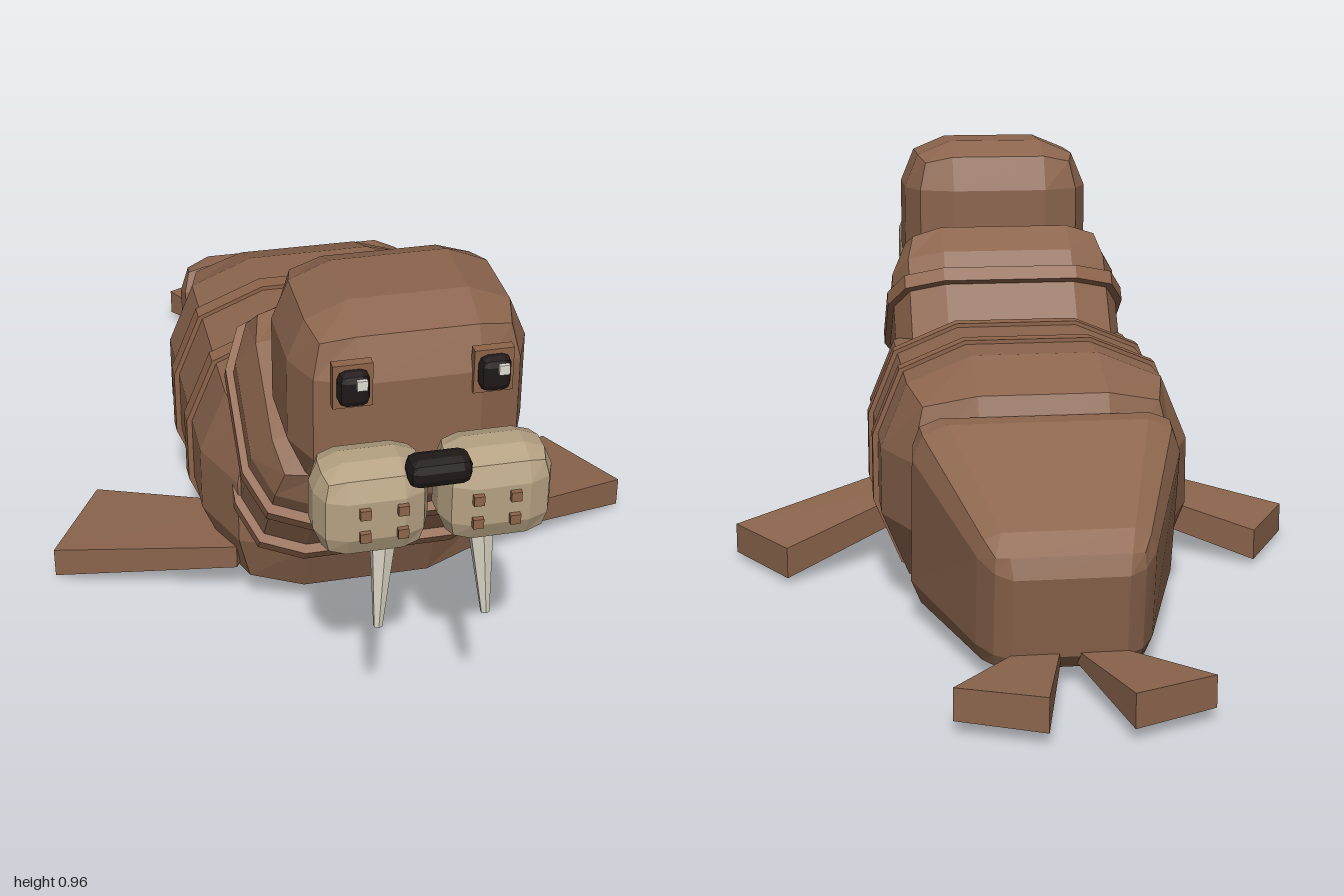
import * as THREE from 'three';
import { RoundedBoxGeometry } from 'three/addons/geometries/RoundedBoxGeometry.js';
import { ConvexGeometry } from 'three/addons/geometries/ConvexGeometry.js';

const mat = (name, color) => {
  const m = new THREE.MeshStandardMaterial({ color });
  m.name = name;
  return m;
};

function flat(geo) {
  const g = geo.index ? geo.toNonIndexed() : geo;
  g.computeVertexNormals();
  return g;
}

// Box with chamfered edges, optionally reshaped by a rule on each vertex
function block(w, h, d, r, warp) {
  const g = new RoundedBoxGeometry(w, h, d, 1, r);
  if (warp) {
    const p = g.attributes.position, v = new THREE.Vector3();
    for (let i = 0; i < p.count; i++) {
      warp(v.fromBufferAttribute(p, i));
      p.setXYZ(i, v.x, v.y, v.z);
    }
  }
  return flat(g);
}

// Flat slab whose outline has chamfered corners, thickness centred on z
function slab(w, h, r, t) {
  const pts = [];
  [[1, 1], [-1, 1], [-1, -1], [1, -1]].forEach(([sx, sy], k) => {
    for (let j = 0; j < 3; j++) {
      const a = k * Math.PI / 2 + j * Math.PI / 4;
      pts.push(new THREE.Vector2(
        sx * (w / 2 - r) + r * Math.cos(a), sy * (h / 2 - r) + r * Math.sin(a)));
    }
  });
  const g = new THREE.ExtrudeGeometry(new THREE.Shape(pts), { depth: t, bevelEnabled: false });
  return flat(g.translate(0, 0, -t / 2));
}

// Flipper from corners [x, z, bottom y, top y], mirrored by side
function flipper(corners, side) {
  const pts = [];
  for (const [x, z, y0, y1] of corners) {
    pts.push(new THREE.Vector3(side * x, y0, z), new THREE.Vector3(side * x, y1, z));
  }
  return flat(new ConvexGeometry(pts));
}

export function createModel() {
  const hide = mat('brown hide', 0x8c654d);
  const fold = mat('skin fold brown', 0x8e644a);
  const pad = mat('muzzle tan', 0xb6a283);
  const ivory = mat('ivory', 0xd8d3c2);
  const black = mat('black', 0x1f1918);
  const glint = mat('eye glint', 0xdedcd4);

  const model = new THREE.Group();
  model.name = 'walrus';
  const add = (name, geo, material, x = 0, y = 0, z = 0, parent = model) => {
    const m = new THREE.Mesh(geo, material);
    m.name = name;
    m.position.set(x, y, z);
    parent.add(m);
    return m;
  };

  // Main body and its two skin folds
  add('body', block(0.68, 0.55, 0.88, 0.2), hide, 0, 0.295, 0.04);
  for (const z of [0.14, -0.06]) {
    add('bodyFold', slab(0.704, 0.574, 0.21, 0.04), fold, 0, 0.292, z);
  }

  // Hind body, narrowing and lowering towards the tail
  const hind = block(0.62, 0.46, 0.5, 0.08, (v) => {
    const t = v.z / 0.5 + 0.5, s = v.y / 0.46 + 0.5;
    v.x *= THREE.MathUtils.lerp(0.5, 1, t);
    v.y = 0.025 + s * THREE.MathUtils.lerp(0.26, 0.48, t);
    v.z = THREE.MathUtils.lerp(-0.72, -0.22, t) - s * THREE.MathUtils.lerp(0.04, 0.13, t);
  });
  add('hindBody', hind, hide);

  // Neck leaning forward, with folds
  const neck = new THREE.Group();
  neck.name = 'neckGroup';
  neck.position.set(0, 0.535, 0.44);
  neck.rotation.x = 0.62;
  model.add(neck);
  add('neck', block(0.55, 0.54, 0.45, 0.12), hide, 0, -0.08, 0, neck);
  for (const y of [0, -0.186]) {
    add('neckFold', slab(0.58, 0.49, 0.13, 0.035), fold, 0, y, 0, neck).rotation.x = Math.PI / 2;
  }

  // Head and nose
  add('head', block(0.46, 0.405, 0.385, 0.115), hide, 0, 0.762, 0.648);
  add('nose', block(0.12, 0.056, 0.06, 0.02), black, 0, 0.738, 0.968);

  for (const side of [1, -1]) {
    // Eye on its socket plate
    add('eyeSocket', new THREE.BoxGeometry(0.075, 0.09, 0.02), fold, side * 0.132, 0.855, 0.84);
    add('eye', block(0.06, 0.07, 0.04, 0.016), black, side * 0.132, 0.855, 0.854);
    add('eyeGlint', new THREE.BoxGeometry(0.02, 0.02, 0.008), glint, side * 0.132 + 0.011, 0.872, 0.877);

    // Muzzle pad with whisker dots
    add('muzzlePad', block(0.215, 0.19, 0.15, 0.055), pad, side * 0.117, 0.655, 0.915);
    for (const x of [0.07, 0.14]) {
      for (const y of [0.625, 0.675]) {
        add('whiskerDot', new THREE.BoxGeometry(0.02, 0.02, 0.02), fold, side * x, y, 0.99);
      }
    }

    // Tusk
    const tusk = add('tusk', flat(new THREE.CylinderGeometry(0.028, 0.009, 0.22, 6)), ivory,
      side * 0.098, 0.495, 0.944);
    tusk.rotation.set(-0.11, 0, side * 0.06);

    // Front flipper
    add('frontFlipper', flipper([
      [0.2, 0.225, 0.11, 0.17], [0.28, 0.37, 0.11, 0.165],
      [0.67, 0.195, 0.018, 0.088], [0.55, 0.02 - 0.04, 0.018, 0.09],
    ], side), hide);

    // Tail flipper
    add('tailFlipper', flipper([
      [0.015, -0.7, 0.05, 0.075], [0.1, -0.7, 0.05, 0.075],
      [0.25, -0.925, 0.032, 0.098], [0.08, -1, 0.03, 0.1],
    ], side), hide);
  }

  return model;
}
